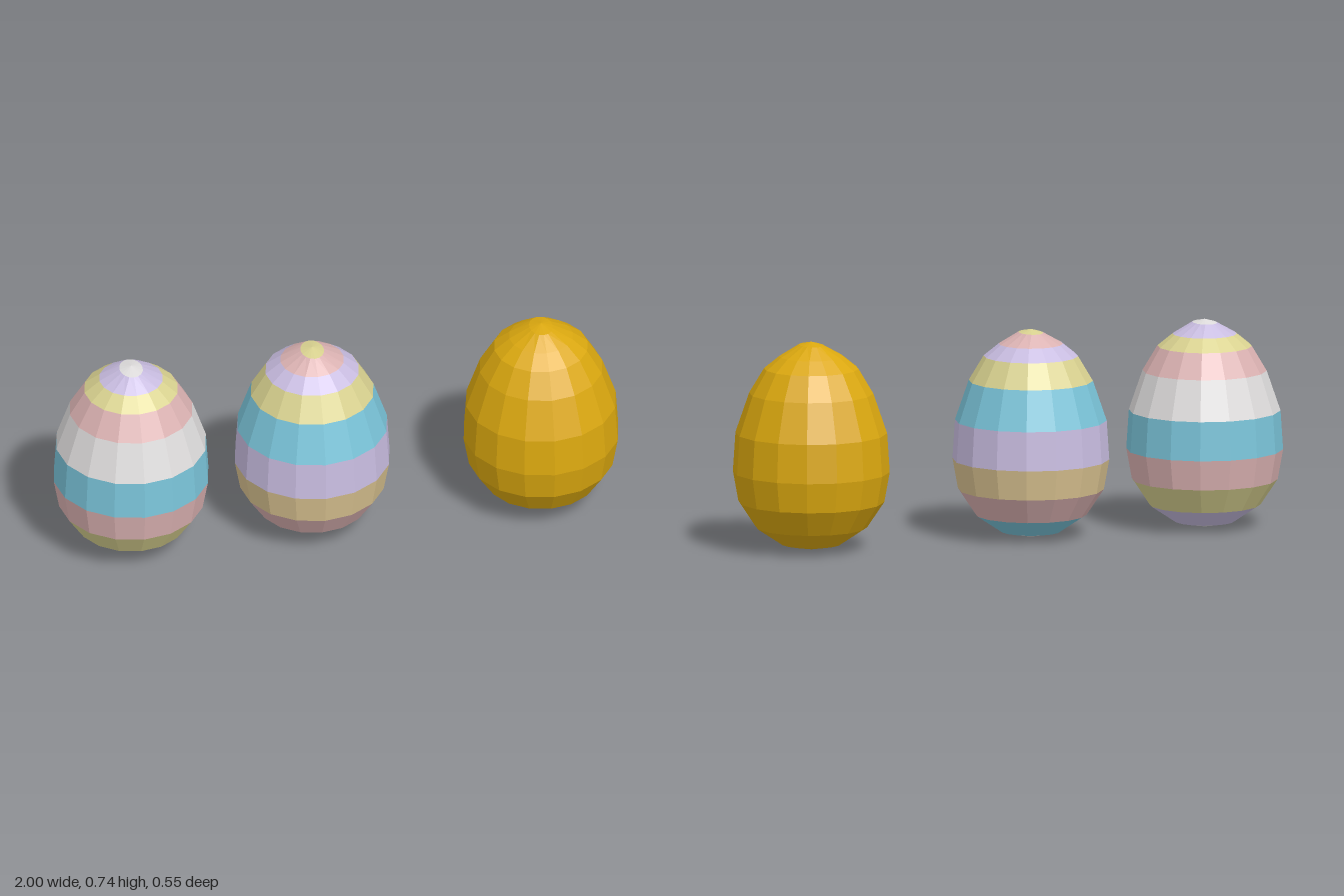
import * as THREE from 'three';

const paint = (name, color) => {
  const m = new THREE.MeshStandardMaterial({ color });
  m.name = name;
  return m;
};

// Egg outline from the bottom pole to the top pole: [radius, height]
const PROFILE = [
  [0, 0.002], [0.105, 0.022], [0.195, 0.082], [0.255, 0.172], [0.274, 0.278],
  [0.265, 0.415], [0.217, 0.555], [0.165, 0.642], [0.112, 0.685], [0.057, 0.725], [0, 0.737],
];
const SIDES = 16;
const TIP = 0.725; // height of the ring around the tip, slightly narrower in x

// Faceted ring of the egg between two outline points
function eggSection(from, to) {
  const points = PROFILE.slice(from, to + 1).map(([r, y]) => new THREE.Vector2(r, y));
  const lathe = new THREE.LatheGeometry(points, SIDES);
  const pos = lathe.attributes.position;
  for (let i = 0; i < pos.count; i++) {
    if (Math.abs(pos.getY(i) - TIP) < 0.001) pos.setX(i, pos.getX(i) * 0.72);
  }
  const geometry = lathe.toNonIndexed();
  geometry.computeVertexNormals();
  return geometry;
}

export function createModel() {
  const gold = paint('gold', 0xdba80f);
  const white = paint('white', 0xdedcdc);
  const lavender = paint('lavender', 0xc8bce0);
  const yellow = paint('pale yellow', 0xd9d290);
  const pink = paint('pink', 0xdbb2b2);
  const blue = paint('sky blue', 0x7ac4d9);
  const tan = paint('tan', 0xd9c290);

  const model = new THREE.Group();
  model.name = 'eggs';

  // Striped eggs, one colour per ring from bottom to top
  const striped = [
    ['rightStripedEgg', -0.727, [white, lavender, yellow, pink, blue, white, pink, yellow, lavender, white]],
    ['middleStripedEgg', -0.085, [white, blue, pink, tan, lavender, blue, yellow, lavender, pink, yellow]],
  ];
  for (const [name, x, colours] of striped) {
    const egg = new THREE.Group();
    egg.name = name;
    egg.position.x = x;
    colours.forEach((material, i) => {
      const band = new THREE.Mesh(eggSection(i, i + 1), material);
      band.name = `band${i + 1}`;
      egg.add(band);
    });
    model.add(egg);
  }

  // Plain golden egg
  const golden = new THREE.Mesh(eggSection(0, PROFILE.length - 1), gold);
  golden.name = 'goldenEgg';
  golden.position.x = 0.726;
  model.add(golden);

  return model;
}
